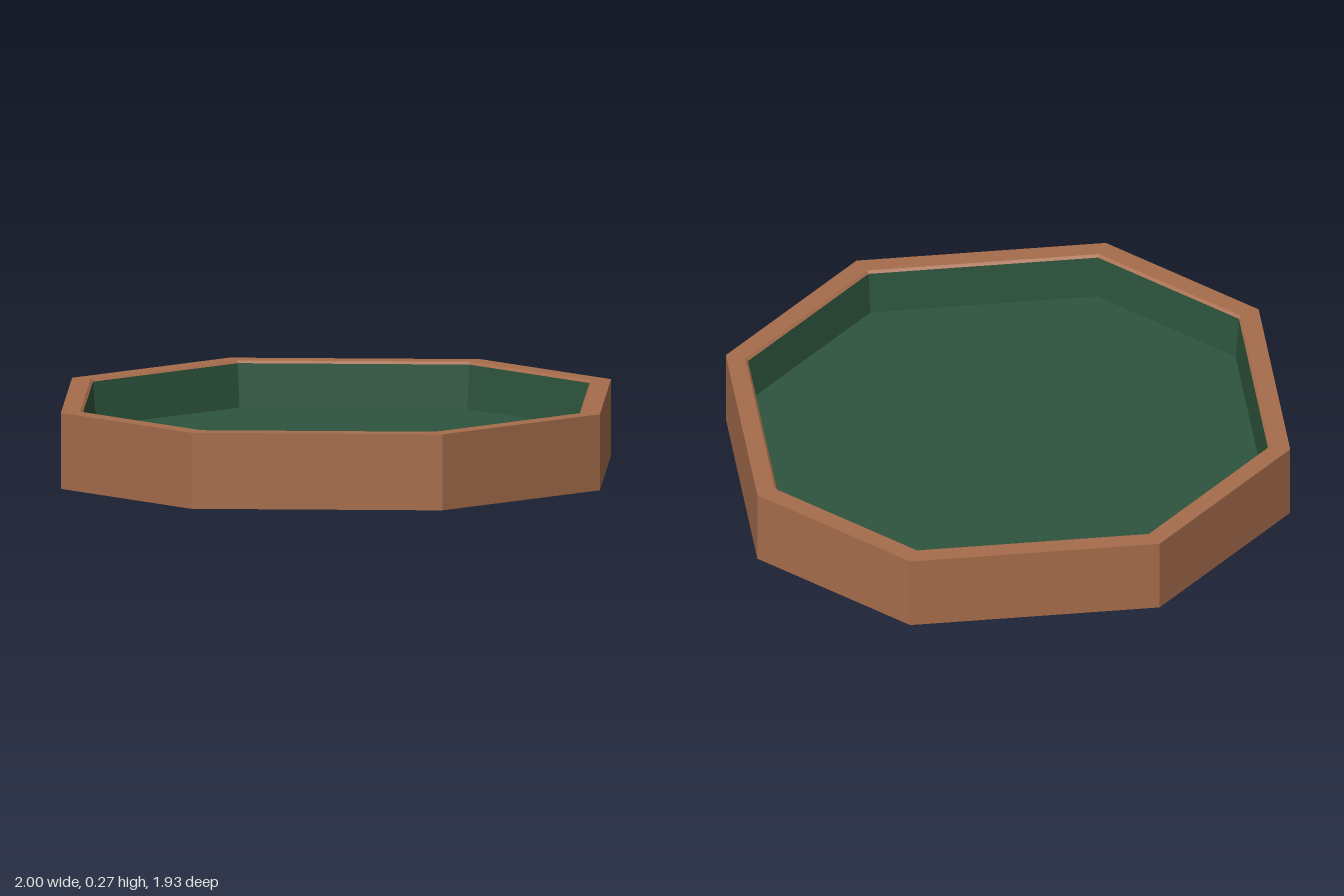
import * as THREE from 'three';

// Corners of the slightly wide octagon, scaled, at height y
function octagon(scale, y) {
  return [[1, 0.34], [0.375, 0.965], [-0.375, 0.965], [-1, 0.34],
    [-1, -0.34], [-0.375, -0.965], [0.375, -0.965], [1, -0.34]]
    .map(([x, z]) => [x * scale, y, z * scale]);
}

// Flat-sided bands joining successive [scale, y] octagons
function bands(profile) {
  const points = [];
  for (let k = 0; k < profile.length - 1; k++) {
    const a = octagon(...profile[k]), b = octagon(...profile[k + 1]);
    for (let i = 0; i < 8; i++) {
      const j = (i + 1) % 8;
      points.push(a[i], b[i], a[j], b[i], b[j], a[j]);
    }
  }
  const geometry = new THREE.BufferGeometry();
  geometry.setAttribute('position', new THREE.Float32BufferAttribute(points.flat(), 3));
  geometry.computeVertexNormals();
  return geometry;
}

export function createModel() {
  const wood = new THREE.MeshStandardMaterial({ color: 0xa66c4b });
  wood.name = 'wood brown';
  const felt = new THREE.MeshStandardMaterial({ color: 0x2d543d });
  felt.name = 'felt green';

  const model = new THREE.Group();
  model.name = 'octagonalTray';
  const add = (name, profile, material) => {
    const mesh = new THREE.Mesh(bands(profile), material);
    mesh.name = name;
    model.add(mesh);
  };

  // Wooden frame: recessed underside, foot, outer wall, rim and inner lip
  add('frame', [[0, 0.045], [0.925, 0.045], [0.925, 0], [1, 0], [1, 0.27],
    [0.93, 0.27], [0.921, 0.261]], wood);

  // Felt lining: slightly sloping inner wall, then the floor
  add('feltWall', [[0.921, 0.261], [0.908, 0.105]], felt);
  add('feltFloor', [[0.908, 0.105], [0, 0.105]], felt);

  return model;
}
